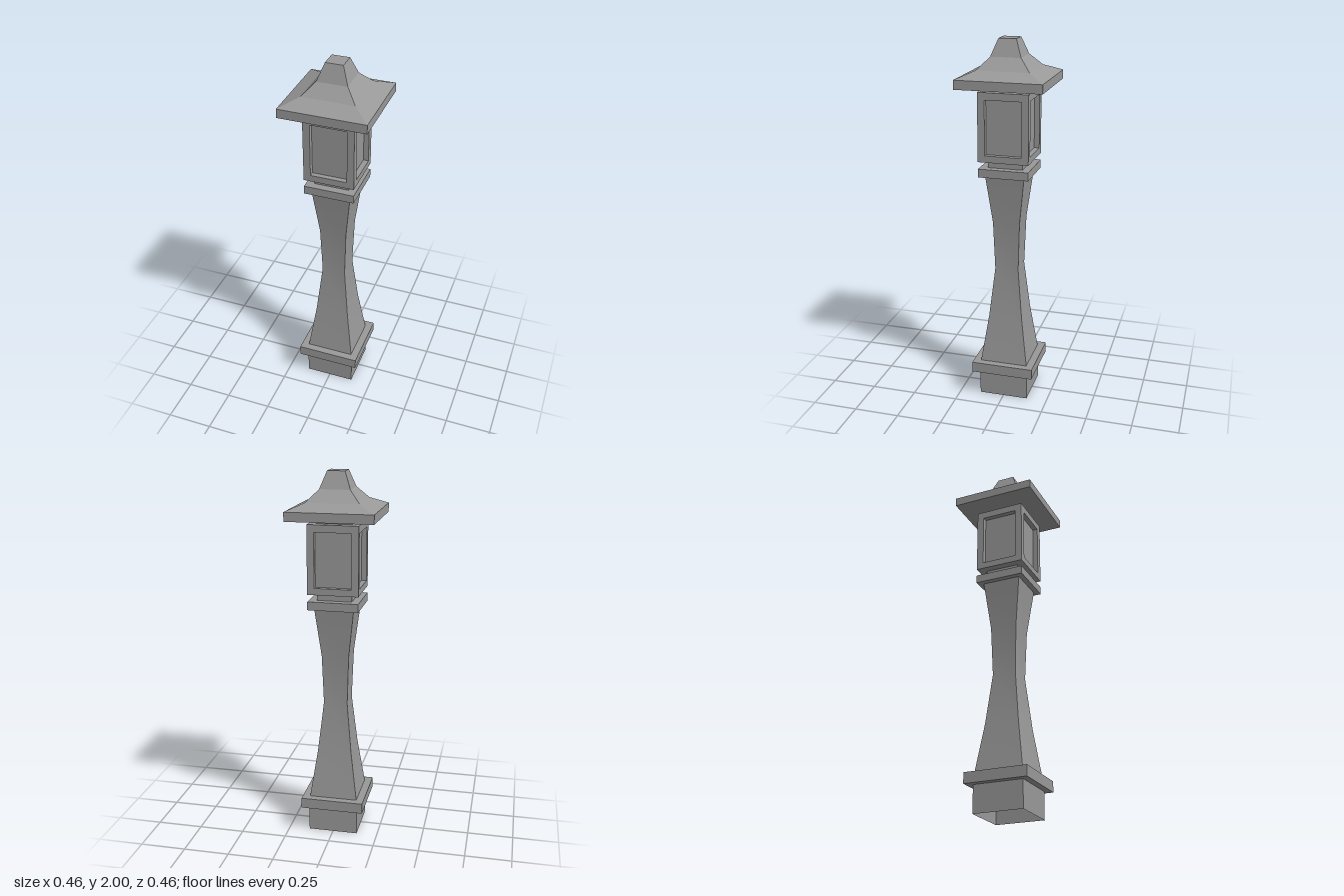
import * as THREE from 'three';
import { toCreasedNormals } from 'three/addons/utils/BufferGeometryUtils.js';

const material = new THREE.MeshStandardMaterial({ color: 0x999999, side: THREE.DoubleSide });

function add(parent, name, geometry) {
  const mesh = new THREE.Mesh(geometry, material);
  mesh.name = name;
  parent.add(mesh);
  return mesh;
}

// Square section swept up a profile of [half width, height] pairs: sharp corners, gentle bends smooth
function squareLathe(profile) {
  const points = profile.map(([half, y]) => new THREE.Vector2(half * Math.SQRT2, y));
  return toCreasedNormals(new THREE.LatheGeometry(points, 4, Math.PI / 4), 0.3);
}

// Square block between two heights
function block(half, y0, y1) {
  return new THREE.BoxGeometry(half * 2, y1 - y0, half * 2).translate(0, (y0 + y1) / 2, 0);
}

// Flat plate with a rectangular window, facing +z
function framePlate(half, y0, y1, holeHalf, holeY0, holeY1, depth) {
  const rect = (path, h, a, b) => path.moveTo(-h, a).lineTo(h, a).lineTo(h, b).lineTo(-h, b).closePath();
  const shape = rect(new THREE.Shape(), half, y0, y1);
  shape.holes.push(rect(new THREE.Path(), holeHalf, holeY0, holeY1));
  return new THREE.ExtrudeGeometry(shape, { depth, bevelEnabled: false });
}

export function createModel() {
  const model = new THREE.Group();
  model.name = 'lanternPost';

  // Hollow foot, open underneath, with a wider ledge on top
  add(model, 'foot', squareLathe([[0.136, 0], [0.136, 0.147]]));
  add(model, 'footLedge', block(0.172, 0.147, 0.205));

  // Waisted shaft
  add(model, 'shaft', squareLathe([
    [0.132, 0.205], [0.094, 0.47], [0.065, 0.75], [0.074, 1.02], [0.106, 1.287],
  ]));
  add(model, 'shaftCap', block(0.136, 1.287, 1.332));
  add(model, 'lowerNeck', block(0.094, 1.332, 1.37));

  // Lantern box: recessed core with a framed window on each side
  const lantern = new THREE.Group();
  lantern.name = 'lantern';
  model.add(lantern);
  const outer = 0.136, inner = 0.108, y0 = 1.37, y1 = 1.737;
  add(lantern, 'lanternCore', block(inner, y0, y1));
  for (let i = 0; i < 4; i++) {
    const half = i % 2 ? inner : outer;
    const plate = add(lantern, 'windowFrame', framePlate(half, y0, y1, 0.098, 1.406, 1.698, outer - inner));
    plate.geometry.translate(0, 0, inner).rotateY(i * Math.PI / 2);
  }
  add(model, 'upperNeck', block(0.094, y1, 1.762));

  // Flared roof with a flat top
  add(model, 'roof', squareLathe([
    [0, 1.762], [0.23, 1.762], [0.23, 1.81], [0.14, 1.848], [0.081, 1.91], [0.047, 2], [0, 2],
  ]));

  return model;
}
